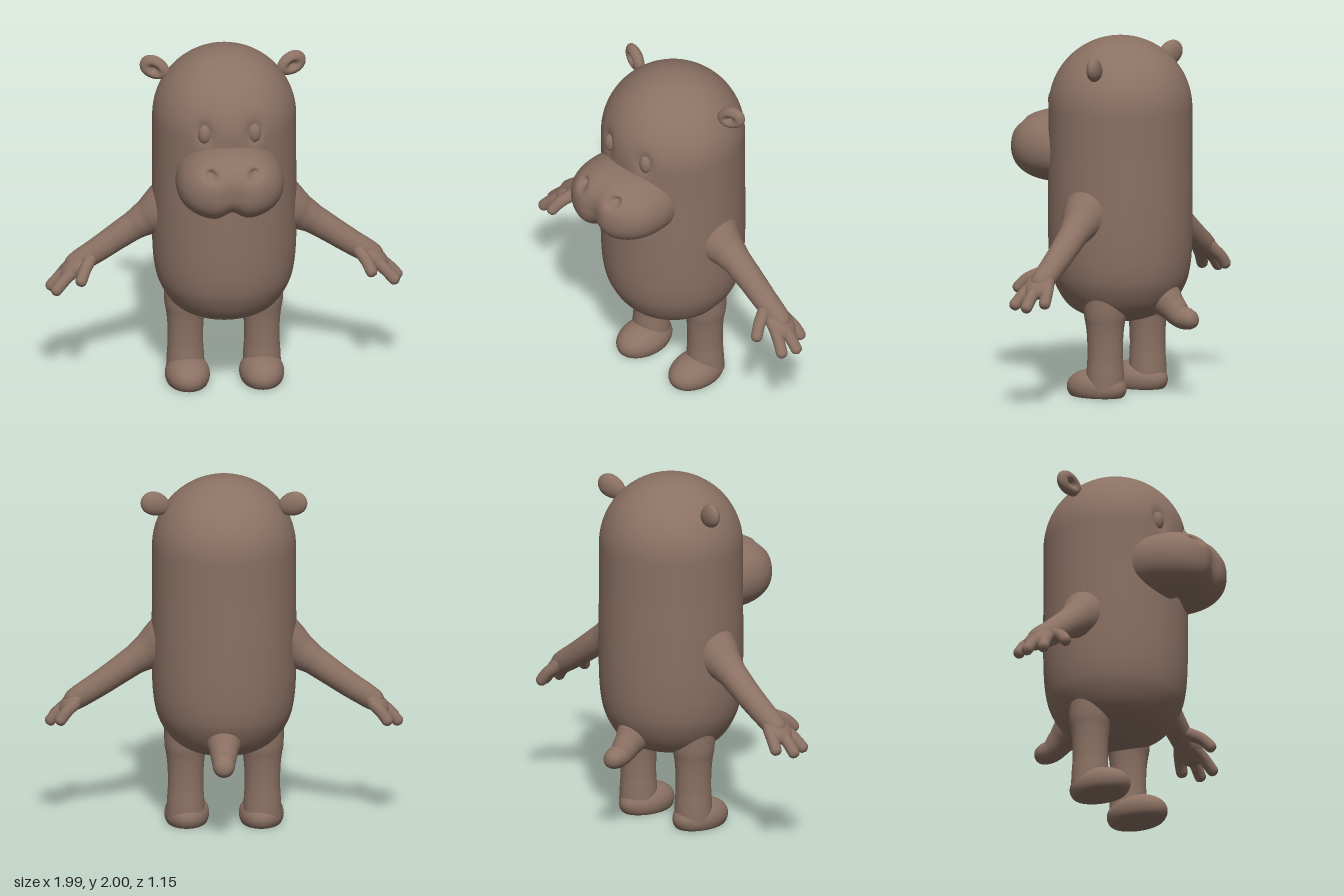
import * as THREE from 'three';
import { mergeVertices, toCreasedNormals } from 'three/addons/utils/BufferGeometryUtils.js';

const hide = new THREE.MeshStandardMaterial({ color: 0x8b7163 });
hide.name = 'brown hide';

// Move every vertex by a rule, then weld and smooth.
function shape(geo, rule) {
  const p = geo.attributes.position, v = new THREE.Vector3();
  for (let i = 0; i < p.count; i++) {
    v.fromBufferAttribute(p, i);
    rule(v);
    p.setXYZ(i, v.x, v.y, v.z);
  }
  geo.deleteAttribute('normal');
  geo.deleteAttribute('uv');
  const out = mergeVertices(geo, 1e-5);
  out.computeVertexNormals();
  return out;
}

const bump = (dx, dy) => Math.exp(-(dx * dx + dy * dy) * 1.5);

// Tapered tube with a rounded far end; points are [x, y, z, radius].
function limb(points, segs = 40, sides = 24) {
  const curve = new THREE.CatmullRomCurve3(points.map(([x, y, z]) => new THREE.Vector3(x, y, z)));
  const geo = new THREE.TubeGeometry(curve, segs, 1, sides);
  const length = curve.getLength(), p = geo.attributes.position, last = points.length - 1;
  const v = new THREE.Vector3();
  for (let i = 0; i <= segs; i++) {
    // ease rings towards the tip so that the cap is round
    const u = i / segs, c = curve.getPointAt(u), t = curve.getUtoTmapping(u) * last;
    const k = Math.min(Math.floor(t), last - 1);
    let r = THREE.MathUtils.lerp(points[k][3], points[k + 1][3], t - k);
    const d = Math.min(1, (1 - u) * length / r);
    r *= Math.sqrt(Math.max(0, 1 - (1 - d) ** 2));
    for (let j = 0; j <= sides; j++) {
      const n = i * (sides + 1) + j;
      v.fromBufferAttribute(p, n).sub(curve.getPointAt(u)).normalize().multiplyScalar(r).add(c);
      p.setXYZ(n, v.x, v.y, v.z);
    }
  }
  return shape(geo, () => {});
}

export function createModel() {
  const model = new THREE.Group();
  const add = (name, geo, x = 0, y = 0, z = 0) => {
    const mesh = new THREE.Mesh(geo, hide);
    mesh.name = name;
    mesh.position.set(x, y, z);
    model.add(mesh);
    return mesh;
  };

  // Body and head: one rounded column with shallow eye sockets
  const profile = [[0, 0.4], [0.1, 0.41], [0.21, 0.445], [0.295, 0.5], [0.358, 0.6], [0.387, 0.7], [0.4, 0.85], [0.402, 1.1], [0.4, 1.35]];
  const lower = new THREE.SplineCurve(profile.map(([x, y]) => new THREE.Vector2(x, y))).getPoints(50);
  const upper = [];
  for (let i = 1; i <= 45; i++) {
    const y = 1.35 + 0.25 * Math.min(1, i / 13), a = Math.max(0, (i - 13) / 32) * Math.PI / 2;
    upper.push(new THREE.Vector2(0.4 * Math.cos(a), y + 0.4 * Math.sin(a)));
  }
  const column = new THREE.LatheGeometry([...lower, ...upper].map(q => new THREE.Vector2(Math.max(q.x, 0), q.y)), 144);
  add('body', shape(column, v => {
    if (v.z > 0) v.z -= 0.03 * bump((Math.abs(v.x) - 0.138) / 0.05, (v.y - 1.64) / 0.07);
  }), 0, 0, -0.07);

  // Muzzle: full rounded block with a centre groove and two nostril hollows
  add('muzzle', shape(new THREE.SphereGeometry(1, 112, 80), v => {
    const n = v.clone(), p = 2.35;
    v.divideScalar((Math.abs(n.x) ** p + Math.abs(n.y) ** p + Math.abs(n.z) ** p) ** (1 / p));
    const groove = Math.exp(-((v.x / 0.2) ** 2));
    const x = 0.3 * v.x * (1 - 0.07 * Math.max(0, v.y));
    let y = 1.36 + 0.203 * v.y, z = 0.29 + 0.29 * v.z;
    if (v.y < 0) y += 0.045 * groove * -v.y;
    if (v.z > 0) {
      z -= 0.028 * groove * v.z * (v.y < 0 ? 1 : 1 - 0.6 * v.y);
      z -= 0.055 * bump((Math.abs(x) - 0.12) / 0.036, (y - 1.475) / 0.03);
    }
    v.set(x, y, z);
  }));

  // Tail
  add('tail', limb([[0, 0.57, -0.34, 0.11], [0, 0.5, -0.42, 0.078], [0, 0.455, -0.475, 0.065], [0, 0.447, -0.53, 0.06], [0, 0.46, -0.58, 0.056]]));

  for (const s of [1, -1]) {
    const side = s > 0 ? 'left' : 'right';

    // Eye
    add(side + 'Eye', new THREE.SphereGeometry(1, 28, 20), s * 0.138, 1.63, 0.279).scale.set(0.038, 0.056, 0.033);

    // Ear: flattened, with a hollow on the front
    const ear = add(side + 'Ear', shape(new THREE.SphereGeometry(1, 48, 32), v => {
      const hollow = v.z > 0 ? 0.038 * bump(v.x / 0.45, (v.y + 0.05) / 0.4) : 0;
      v.set(0.088 * v.x, 0.066 * v.y * (1 + 0.12 * s * v.x), 0.04 * v.z - hollow);
    }), s * 0.38, 1.86, -0.148);
    ear.rotation.set(0, s * 0.3, s * 0.4);

    // Arm, palm, fingers and thumb
    add(side + 'Arm', limb([
      [s * 0.28, 1.07, -0.075, 0.17], [s * 0.37, 1.02, -0.075, 0.13], [s * 0.43, 0.985, -0.08, 0.1], [s * 0.5, 0.94, -0.085, 0.082],
      [s * 0.6, 0.87, -0.09, 0.075], [s * 0.7, 0.8, -0.09, 0.07], [s * 0.8, 0.735, -0.09, 0.065], [s * 0.88, 0.68, -0.085, 0.055]], 60));
    const palm = add(side + 'Palm', new THREE.SphereGeometry(1, 32, 24), s * 0.838, 0.702, -0.083);
    palm.scale.set(0.1, 0.05, 0.085);
    palm.rotation.z = -s * 0.68;
    const fingers = [
      [[0.82, 0.71, -0.13], [0.87, 0.665, -0.155], [0.925, 0.59, -0.172]],
      [[0.83, 0.71, -0.085], [0.91, 0.65, -0.083], [0.985, 0.57, -0.082]],
      [[0.82, 0.71, -0.045], [0.89, 0.655, -0.015], [0.962, 0.578, 0.018]],
      [[0.75, 0.76, -0.04], [0.785, 0.725, 0.03], [0.82, 0.655, 0.093]]];
    fingers.forEach((f, i) => add(side + (i < 3 ? 'Finger' : 'Thumb'),
      limb(f.map(([x, y, z], k) => [s * x, y, z, [0.037, 0.034, 0.032][k]]), 28, 16)));

    // Leg
    const leg = [[0.108, 0.04], [0.104, 0.14], [0.099, 0.22], [0.1, 0.32], [0.107, 0.4], [0.118, 0.47], [0.12, 0.6]];
    add(side + 'Leg', new THREE.LatheGeometry(new THREE.SplineCurve(leg.map(([x, y]) => new THREE.Vector2(x, y))).getPoints(24), 40),
      s * 0.213, 0, -0.11);

    // Foot with a flat sole
    const foot = shape(new THREE.SphereGeometry(1, 40, 30), v => {
      v.set(0.125 * v.x, Math.max(-0.05, 0.105 * v.y), 0.182 * v.z);
    });
    add(side + 'Foot', toCreasedNormals(foot, 0.6), s * 0.207, 0.05, -0.05);
  }
  return model;
}
